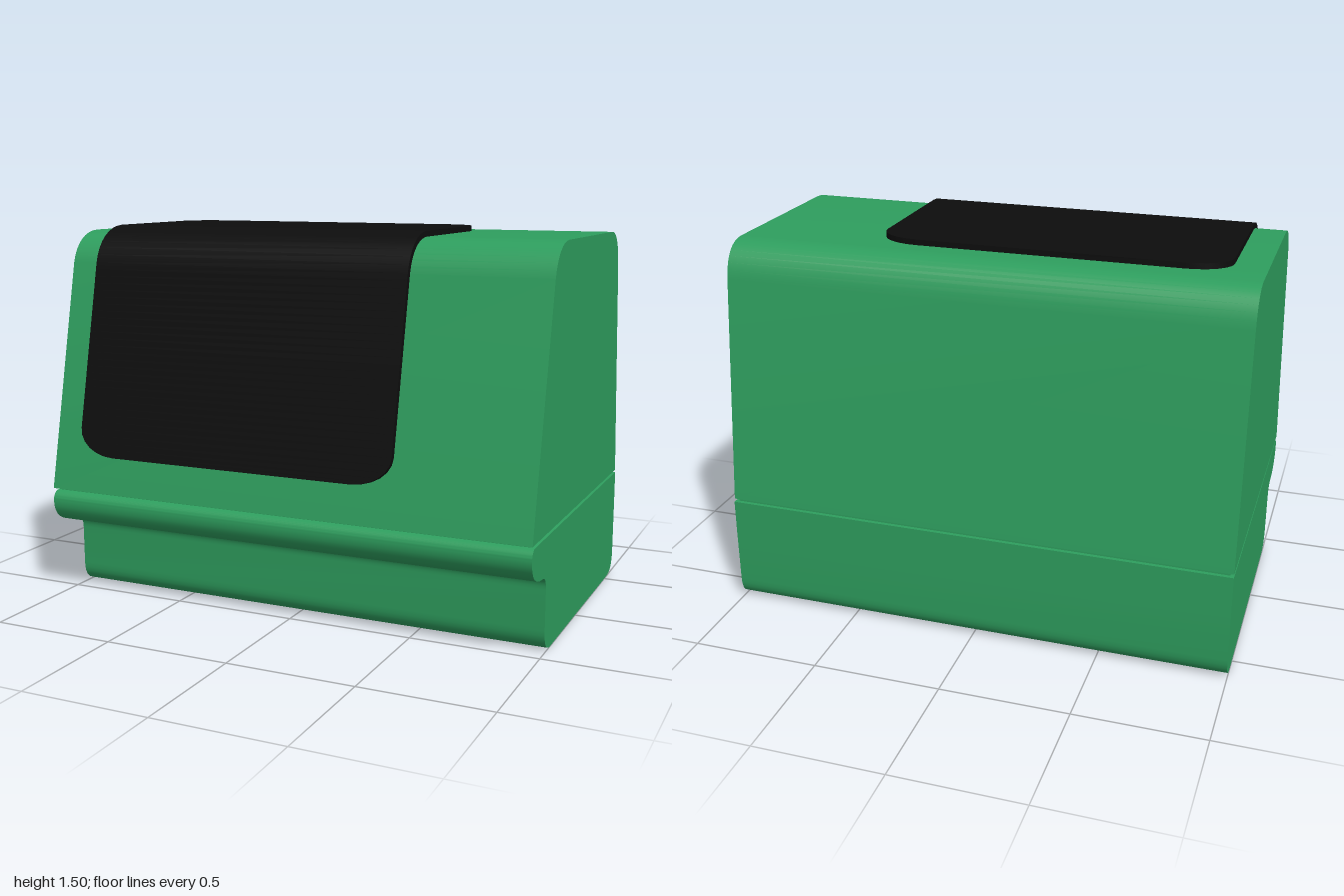
import * as THREE from 'three';
import { toCreasedNormals } from 'three/addons/utils/BufferGeometryUtils.js';

const green = new THREE.MeshStandardMaterial({ color: 0x2e9e5e });
const black = new THREE.MeshStandardMaterial({ color: 0x0d0d0d });

function part(name, geometry, material) {
  const mesh = new THREE.Mesh(geometry, material);
  mesh.name = name;
  return mesh;
}

// Side profile drawn as (z, y), swept across the full width along x
function sweep(shape, width) {
  const geo = new THREE.ExtrudeGeometry(shape, { depth: width, bevelEnabled: false, curveSegments: 8 });
  geo.rotateY(-Math.PI / 2).translate(width / 2, 0, 0);
  return toCreasedNormals(geo, 0.6);
}

// Rounded front shoulder shared by the lid and the panel
function frontShoulder(path) {
  path.lineTo(0.44, 1.35);
  path.bezierCurveTo(0.42, 1.425, 0.36, 1.475, 0.27, 1.475);
}

function lidGeometry() {
  const s = new THREE.Shape();
  s.moveTo(-0.63, 0.45);
  s.lineTo(0.635, 0.45);
  frontShoulder(s);
  s.lineTo(-0.4, 1.475);
  s.bezierCurveTo(-0.475, 1.475, -0.52, 1.43, -0.532, 1.34);
  s.closePath();
  return sweep(s, 2);
}

function baseGeometry() {
  const s = new THREE.Shape();
  s.moveTo(-0.635, 0.438);
  s.lineTo(-0.637, 0.3);
  s.lineTo(-0.637, 0.09);
  s.quadraticCurveTo(-0.637, 0, -0.545, 0);
  s.lineTo(0.36, 0);
  s.quadraticCurveTo(0.445, 0, 0.445, 0.085);
  s.lineTo(0.445, 0.24);
  s.quadraticCurveTo(0.445, 0.293, 0.5, 0.295);
  s.bezierCurveTo(0.58, 0.3, 0.637, 0.33, 0.637, 0.4);
  s.quadraticCurveTo(0.637, 0.425, 0.612, 0.438);
  s.closePath();
  return sweep(s, 2);
}

// Thin rounded sheet that follows the lid from its front face onto its top
function panelGeometry() {
  const path = new THREE.Path();
  path.moveTo(0.604, 0.593);
  frontShoulder(path);
  path.lineTo(-0.33, 1.475);
  const length = path.getLength();
  const xMin = -0.875, xMax = 0.465, rx = 0.16, ry = 0.11, thick = 0.022;

  // Stations: dense in the rounded corners and over the bend
  const corner = [0, 1, 2, 3, 4, 5, 6].map(i => ry * (1 - Math.cos(i / 6 * Math.PI / 2)));
  const stations = [...corner];
  for (let i = 1; i < 50; i++) stations.push(ry + (length - 2 * ry) * i / 50);
  stations.push(...corner.map(d => length - d).reverse());

  const pos = [], index = [];
  stations.forEach((d, i) => {
    const p = path.getPoint(d / length), t = path.getTangent(d / length);
    const edge = Math.min(d, length - d, ry);
    const inset = rx * (1 - Math.sqrt(Math.max(0, 1 - (1 - edge / ry) ** 2)));
    const oz = p.x + t.y * thick, oy = p.y - t.x * thick;
    const a = xMin + inset, b = xMax - inset;
    pos.push(a, oy, oz, b, oy, oz, b, p.y, p.x, a, p.y, p.x);
    if (i === 0) return;
    const r = i * 4, q = r - 4;
    for (let k = 0; k < 4; k++) {
      const n = (k + 1) % 4;
      index.push(q + k, q + n, r + n, q + k, r + n, r + k);
    }
  });
  const e = (stations.length - 1) * 4;
  index.push(0, 2, 1, 0, 3, 2, e, e + 1, e + 2, e, e + 2, e + 3);

  const geo = new THREE.BufferGeometry();
  geo.setAttribute('position', new THREE.Float32BufferAttribute(pos, 3));
  geo.setIndex(index);
  return toCreasedNormals(geo, 0.6);
}

export function createModel() {
  const model = new THREE.Group();
  model.name = 'liddedBox';

  model.add(part('base', baseGeometry(), green));
  model.add(part('lid', lidGeometry(), green));

  // Recessed core that leaves a fine groove between base and lid
  const seam = part('seam', new THREE.BoxGeometry(1.97, 0.03, 1.22), green);
  seam.position.set(0, 0.444, -0.01);
  model.add(seam);

  model.add(part('frontPanel', panelGeometry(), black));
  return model;
}
